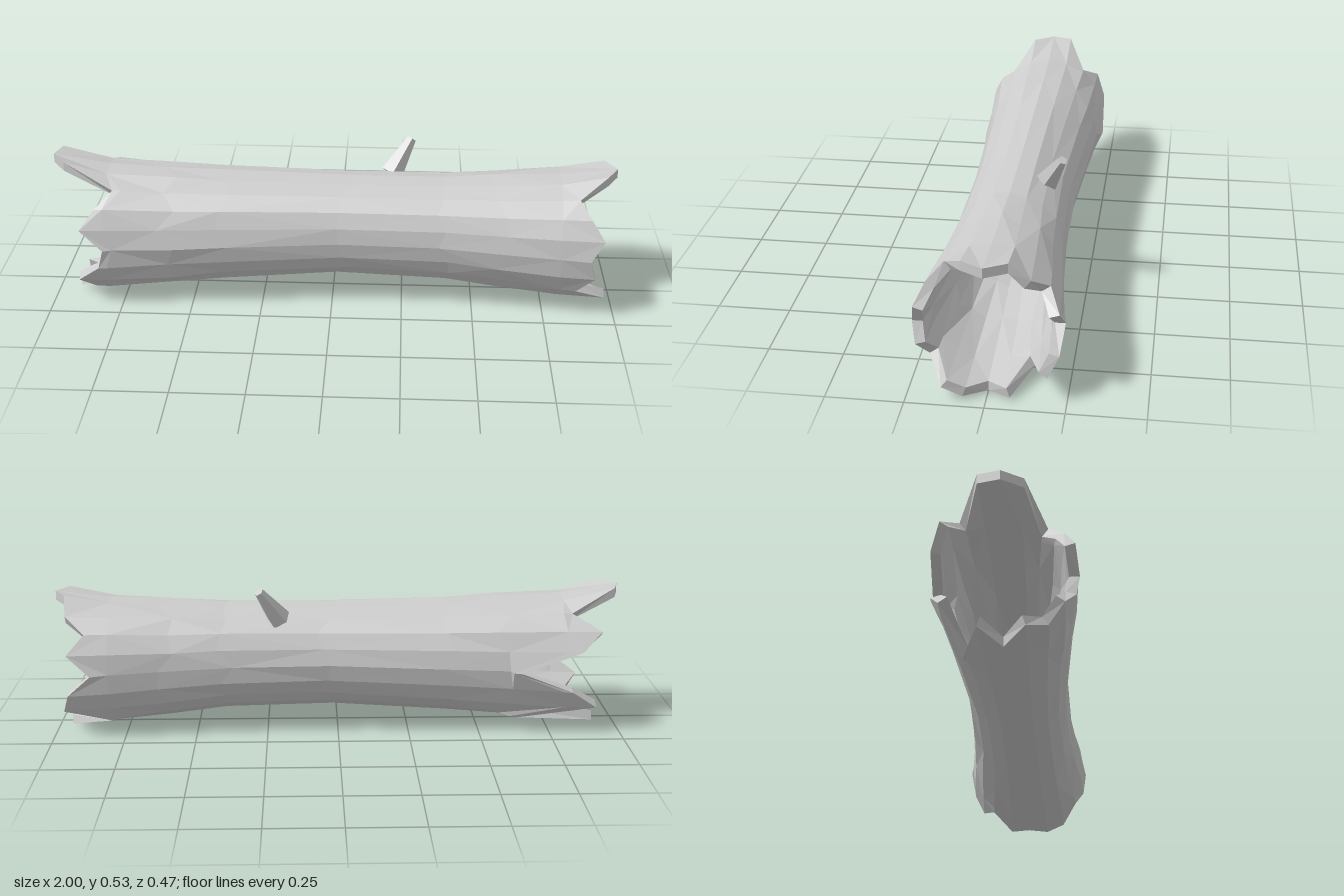
import * as THREE from 'three';

const SIDES = 20;
// How far each of the 20 staves reaches; stave 0 faces +z, stave 5 points up
const LEFT_END = [0.90, 0.945, 0.90, 0.86, 0.96, 1.0, 0.96, 0.95, 0.88, 0.94,
  0.86, 0.94, 0.96, 0.80, 0.95, 0.90, 0.96, 0.97, 0.86, 0.92];
const RIGHT_END = [0.80, 0.88, 0.83, 0.77, 0.95, 1.0, 0.98, 0.82, 0.92, 0.85,
  0.64, 0.82, 0.91, 0.64, 0.92, 0.80, 0.92, 0.85, 0.90, 0.82];

// Trunk stations: x, centre height, outer radius, inner radius
const STATIONS = [
  [-0.80, 0.239, 0.235, 0.195], [-0.58, 0.242, 0.219, 0.175], [-0.38, 0.247, 0.204, 0.160],
  [0.04, 0.257, 0.183, 0.135], [0.40, 0.254, 0.191, 0.145], [0.60, 0.245, 0.208, 0.170],
  [0.80, 0.240, 0.228, 0.190],
];

// Small repeatable unevenness
function rough(i, k) {
  const s = Math.sin(i * 12.99 + k * 78.23) * 43758.5;
  return (s - Math.floor(s)) - 0.5;
}

function onRing(x, centre, radius, k) {
  const a = (k / SIDES) * Math.PI * 2;
  return [x, centre + radius * Math.sin(a), radius * Math.cos(a)];
}

// Broken tip of a stave; the three top staves lift into a flat splinter
function tip(side, k, inner) {
  const x = side * (side > 0 ? LEFT_END : RIGHT_END)[k];
  const p = onRing(x, 0.237, inner ? 0.202 : 0.236, k);
  if (k >= 4 && k <= 6) {
    p[1] = (side > 0 ? 0.487 : 0.503) - (inner ? 0.033 : 0);
    p[2] = (5 - k) * 0.072;
  }
  return p;
}

// Rings of one wall, from the -x tips to the +x tips
function wall(inner) {
  const rings = [[]];
  for (let k = 0; k < SIDES; k++) rings[0].push(tip(-1, k, inner));
  STATIONS.forEach(([sx, c, ro, ri], i) => {
    const ring = [];
    for (let k = 0; k < SIDES; k++) {
      const limit = (sx < 0 ? RIGHT_END : LEFT_END)[k] - 0.03;
      let x = sx;
      if (Math.abs(sx) > 0.7) x = Math.sign(sx) * Math.min(Math.abs(sx), limit);
      else x += rough(i + 9, k) * 0.07;
      const r = inner ? ri + rough(i + 20, k) * 0.014 : ro + rough(i, k) * 0.009;
      ring.push(onRing(x, inner ? (c + 0.237) / 2 : c, r, k));
    }
    rings.push(ring);
  });
  rings.push([]);
  for (let k = 0; k < SIDES; k++) rings[rings.length - 1].push(tip(1, k, inner));
  return rings;
}

// Joins successive rings with flat facets
function loft(rings) {
  const pos = [];
  for (let i = 0; i < rings.length - 1; i++) {
    for (let k = 0; k < SIDES; k++) {
      const n = (k + 1) % SIDES;
      const a = rings[i][k], b = rings[i + 1][k], c = rings[i + 1][n], d = rings[i][n];
      if ((i + k) % 2) pos.push(...a, ...b, ...c, ...a, ...c, ...d);
      else pos.push(...a, ...b, ...d, ...b, ...c, ...d);
    }
  }
  const g = new THREE.BufferGeometry();
  g.setAttribute('position', new THREE.Float32BufferAttribute(pos, 3));
  g.computeVertexNormals();
  return g;
}

export function createModel() {
  const log = new THREE.Group();
  log.name = 'hollowLog';
  const wood = new THREE.MeshStandardMaterial({ color: 0xcccccc, flatShading: true });
  const add = (name, geometry) => {
    const mesh = new THREE.Mesh(geometry, wood);
    mesh.name = name;
    log.add(mesh);
    return mesh;
  };

  // Bark, hollow and the two splintered rims
  const outer = wall(false);
  const inner = wall(true);
  const last = outer.length - 1;
  add('bark', loft(outer));
  add('hollow', loft([...inner].reverse()));
  add('leftRim', loft([outer[last], inner[last]]));
  add('rightRim', loft([inner[0], outer[0]]));

  // Broken branch stub, leaning up and back
  const base = new THREE.Vector3(0.205, 0.405, -0.105);
  const end = new THREE.Vector3(0.275, 0.518, -0.163);
  const dir = end.clone().sub(base);
  const stub = add('branchStub', new THREE.CylinderGeometry(0.017, 0.042, dir.length(), 5));
  stub.position.copy(base).add(end).multiplyScalar(0.5);
  stub.quaternion.setFromUnitVectors(new THREE.Vector3(0, 1, 0), dir.normalize());

  return log;
}
